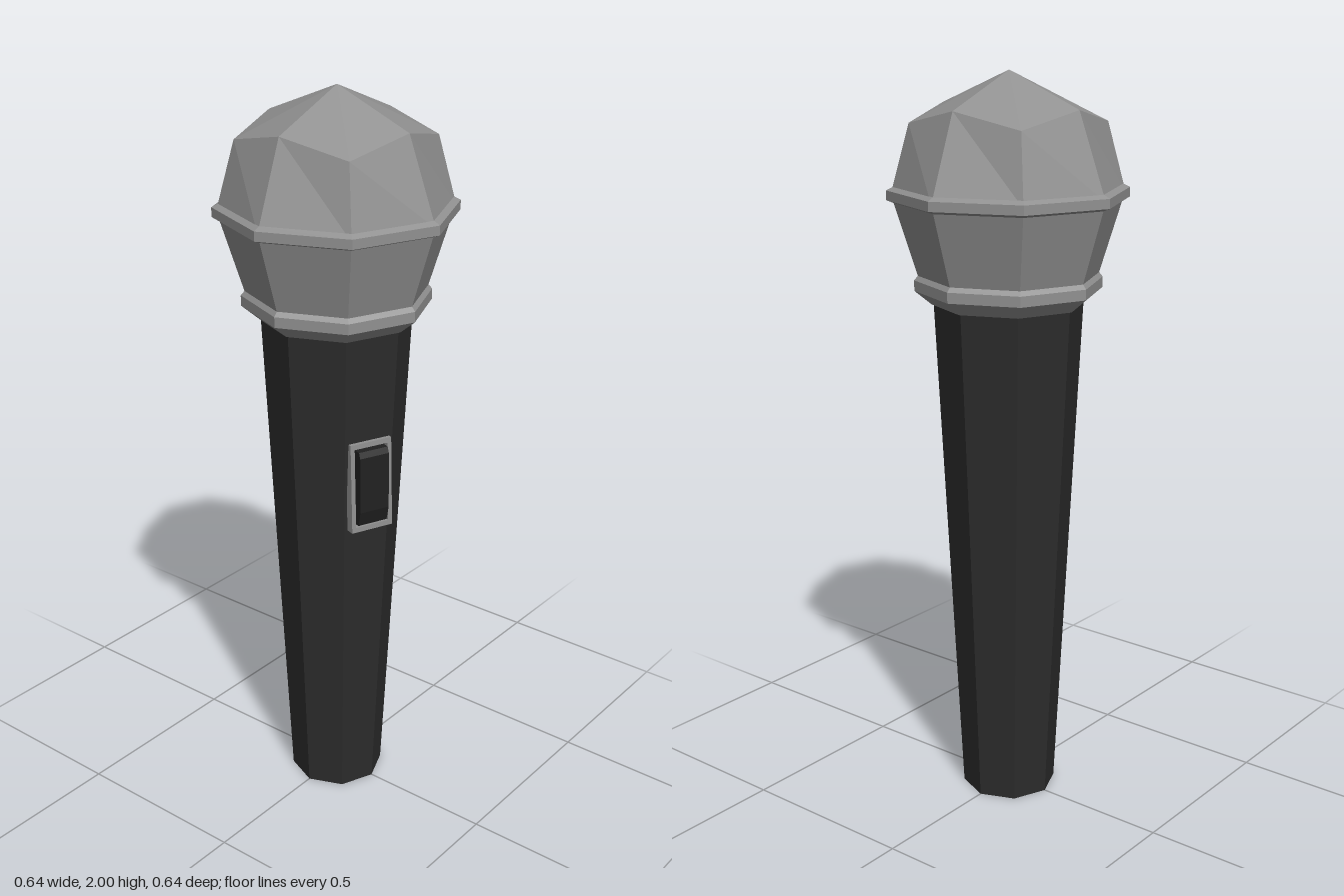
import * as THREE from 'three';

const SIDES = 8;

export function createModel() {
  const model = new THREE.Group();
  model.name = 'microphone';

  const material = (name, color) => {
    const m = new THREE.MeshStandardMaterial({ color });
    m.name = name;
    return m;
  };
  const grey = material('grey metal', 0x919191);
  const black = material('black handle', 0x2c2c2c);
  const dark = material('dark switch', 0x212121);

  // Faceted normals for every part
  const flat = (geometry) => {
    const g = geometry.index ? geometry.toNonIndexed() : geometry;
    g.computeVertexNormals();
    return g;
  };
  const add = (parent, name, geometry, mat) => {
    const mesh = new THREE.Mesh(flat(geometry), mat);
    mesh.name = name;
    parent.add(mesh);
    return mesh;
  };
  // Octagonal turned shape, profile listed from bottom to top
  const turned = (profile) =>
    new THREE.LatheGeometry(profile.map(([r, y]) => new THREE.Vector2(r, y)), SIDES);

  // Tapered handle with closed ends
  add(model, 'handle', turned([[0, 0], [0.13, 0], [0.2, 1.41], [0, 1.41]]), black);

  // Collar between handle and head
  add(model, 'collar', turned([
    [0.19, 1.4], [0.205, 1.4], [0.25, 1.437], [0.25, 1.465], [0.24, 1.477], [0.22, 1.477],
  ]), grey);

  // Head: the upper ring's corners sit wider and lower than its axis points
  const head = turned([[0.238, 1.47], [0.306, 1.69], [0.222, 1.91], [0, 2]]);
  const pos = head.attributes.position;
  for (let i = 0; i <= SIDES; i++) {
    if (i % 2 === 0) continue;
    const k = i * 4 + 2;
    const s = 0.257 / 0.222;
    pos.setXYZ(k, pos.getX(k) * s, 1.87, pos.getZ(k) * s);
  }
  add(model, 'head', head, grey);

  // Band around the widest part of the head
  add(model, 'headBand', turned([
    [0.298, 1.667], [0.318, 1.675], [0.318, 1.7], [0.3, 1.709],
  ]), grey);

  // Switch group lies on the tapered facet left of the front edge
  const mount = new THREE.Group();
  mount.name = 'switch';
  mount.rotation.set(-0.046, -Math.PI / 8, 0, 'YXZ');
  mount.position.set(-Math.sin(Math.PI / 8) * 0.166, 0.985, Math.cos(Math.PI / 8) * 0.166);
  model.add(mount);

  const rectangle = (target, w, h) => {
    target.moveTo(-w / 2, -h / 2);
    target.lineTo(w / 2, -h / 2);
    target.lineTo(w / 2, h / 2);
    target.lineTo(-w / 2, h / 2);
    target.closePath();
    return target;
  };

  // Hollow frame
  const frameShape = rectangle(new THREE.Shape(), 0.122, 0.25);
  frameShape.holes.push(rectangle(new THREE.Path(), 0.098, 0.222));
  const frame = new THREE.ExtrudeGeometry(frameShape, { depth: 0.026, bevelEnabled: false });
  frame.translate(0, 0, -0.004);
  add(mount, 'switchFrame', frame, grey);

  // Rocker button: side profile (outward, up) extruded across its width
  const side = new THREE.Shape([
    [-0.004, -0.106], [0.024, -0.106], [0.036, -0.065],
    [0.04, 0.09], [0.034, 0.106], [-0.004, 0.106],
  ].map(([x, y]) => new THREE.Vector2(x, y)));
  const button = new THREE.ExtrudeGeometry(side, { depth: 0.086, bevelEnabled: false });
  button.translate(0, 0, -0.043);
  button.rotateY(-Math.PI / 2);
  add(mount, 'switchButton', button, dark);

  return model;
}
